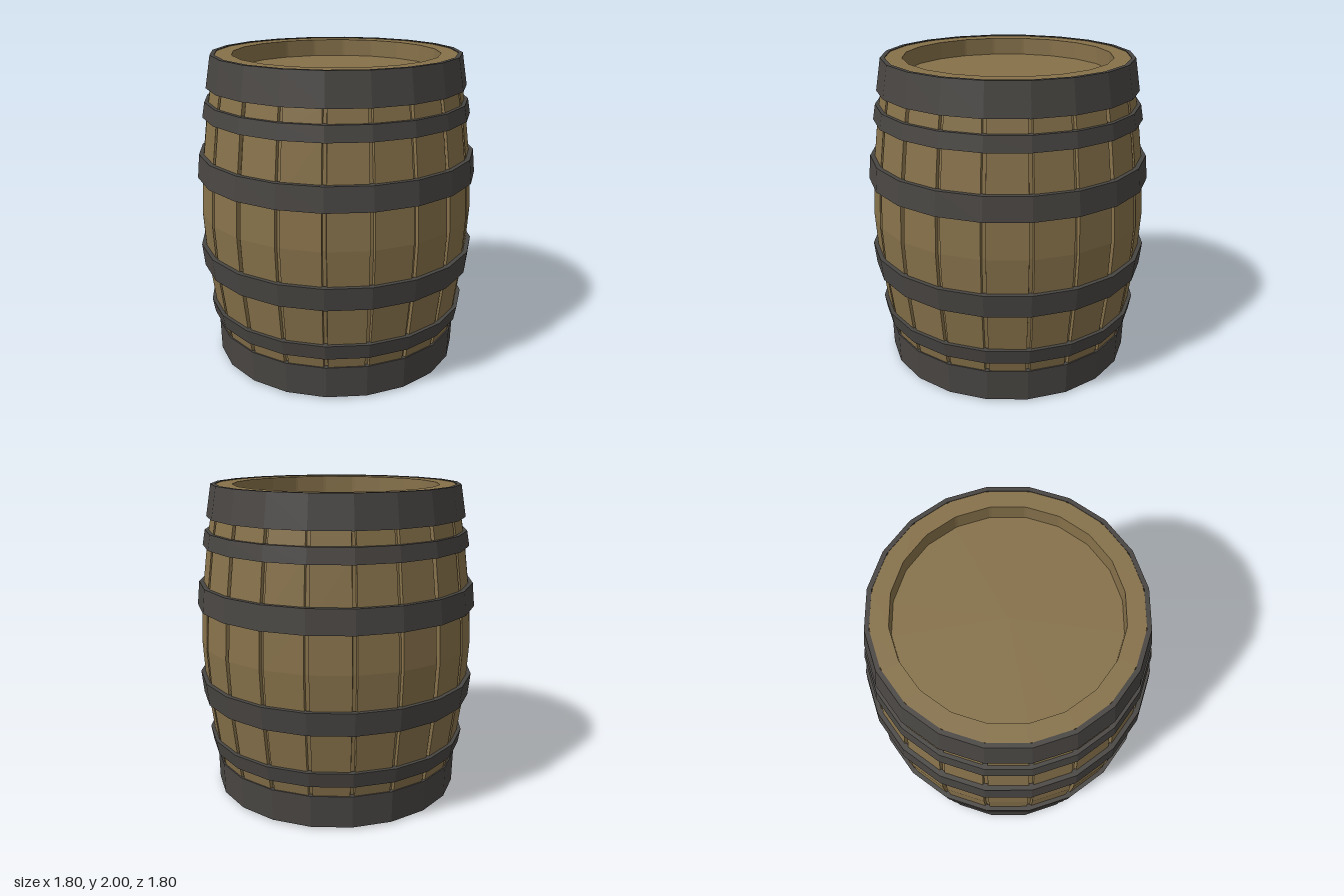
import * as THREE from 'three';

const SIDES = 20;
const STEP = (Math.PI * 2) / SIDES;

const wood = new THREE.MeshStandardMaterial({ color: 0x86714a, flatShading: true });
const iron = new THREE.MeshStandardMaterial({ color: 0x484542, flatShading: true });

// Closed profile [radius, height, grooveDepth], from the bottom head up round to the top head
const bulge = [[0.765, 0], [0.797, 0.2], [0.822, 0.34], [0.868, 0.7], [0.885, 1], [0.868, 1.3], [0.822, 1.66], [0.797, 1.8], [0.765, 1.995]];
const profile = [
  [0, 0.1, 0], [0.655, 0.1, 0], [0.655, 0, 0],
  ...bulge.map(([r, y], i) => [r, y, i === 0 || i === bulge.length - 1 ? 0.006 : 0.022]),
  [0.655, 1.995, 0], [0.655, 1.885, 0], [0, 1.885, 0],
];

// Each joint has a stave edge, two groove-floor points and the next stave's edge
const joint = [[-0.017, false], [-0.012, true], [0.012, true], [0.017, false]];

function staveBody() {
  const positions = [];
  const indices = [];
  const cols = SIDES * joint.length;
  for (const [radius, y, depth] of profile) {
    for (let k = 0; k < SIDES; k++) {
      for (const [offset, isFloor] of joint) {
        // Keep every point on the flat sides of the polygon
        const flat = Math.cos(STEP / 2) / Math.cos(STEP / 2 - Math.abs(offset));
        const r = radius * flat - (isFloor ? depth : 0);
        const a = k * STEP + offset;
        positions.push(r * Math.sin(a), y, r * Math.cos(a));
      }
    }
  }
  for (let row = 0; row < profile.length - 1; row++) {
    for (let c = 0; c < cols; c++) {
      const n = (c + 1) % cols;
      const a = row * cols + c, b = row * cols + n;
      const d = a + cols, e = b + cols;
      if (profile[row][0] > 0) indices.push(a, b, e);
      if (profile[row + 1][0] > 0) indices.push(a, e, d);
    }
  }
  const geometry = new THREE.BufferGeometry();
  geometry.setAttribute('position', new THREE.Float32BufferAttribute(positions, 3));
  geometry.setIndex(indices);
  geometry.computeVertexNormals();
  return geometry;
}

// Solid band with a sloped outer face
function hoop(name, y0, r0, y1, r1, thickness) {
  const points = [
    [r0, y0], [r1, y1], [r1 - thickness, y1], [r0 - thickness, y0], [r0, y0],
  ].map(([r, y]) => new THREE.Vector2(r, y));
  const mesh = new THREE.Mesh(new THREE.LatheGeometry(points, SIDES), iron);
  mesh.name = name;
  return mesh;
}

export function createModel() {
  const barrel = new THREE.Group();
  barrel.name = 'barrel';

  const body = new THREE.Mesh(staveBody(), wood);
  body.name = 'stavesAndHeads';
  barrel.add(body);

  // Hoops from bottom to top
  barrel.add(
    hoop('bottomRimHoop', 0.01, 0.803, 0.215, 0.808, 0.04),
    hoop('lowerNarrowHoop', 0.29, 0.835, 0.385, 0.852, 0.04),
    hoop('lowerMiddleHoop', 0.635, 0.885, 0.78, 0.9, 0.04),
    hoop('upperMiddleHoop', 1.235, 0.9, 1.385, 0.885, 0.04),
    hoop('upperNarrowHoop', 1.62, 0.852, 1.715, 0.835, 0.04),
    hoop('topRimHoop', 1.8, 0.822, 2, 0.788, 0.027),
  );
  return barrel;
}
